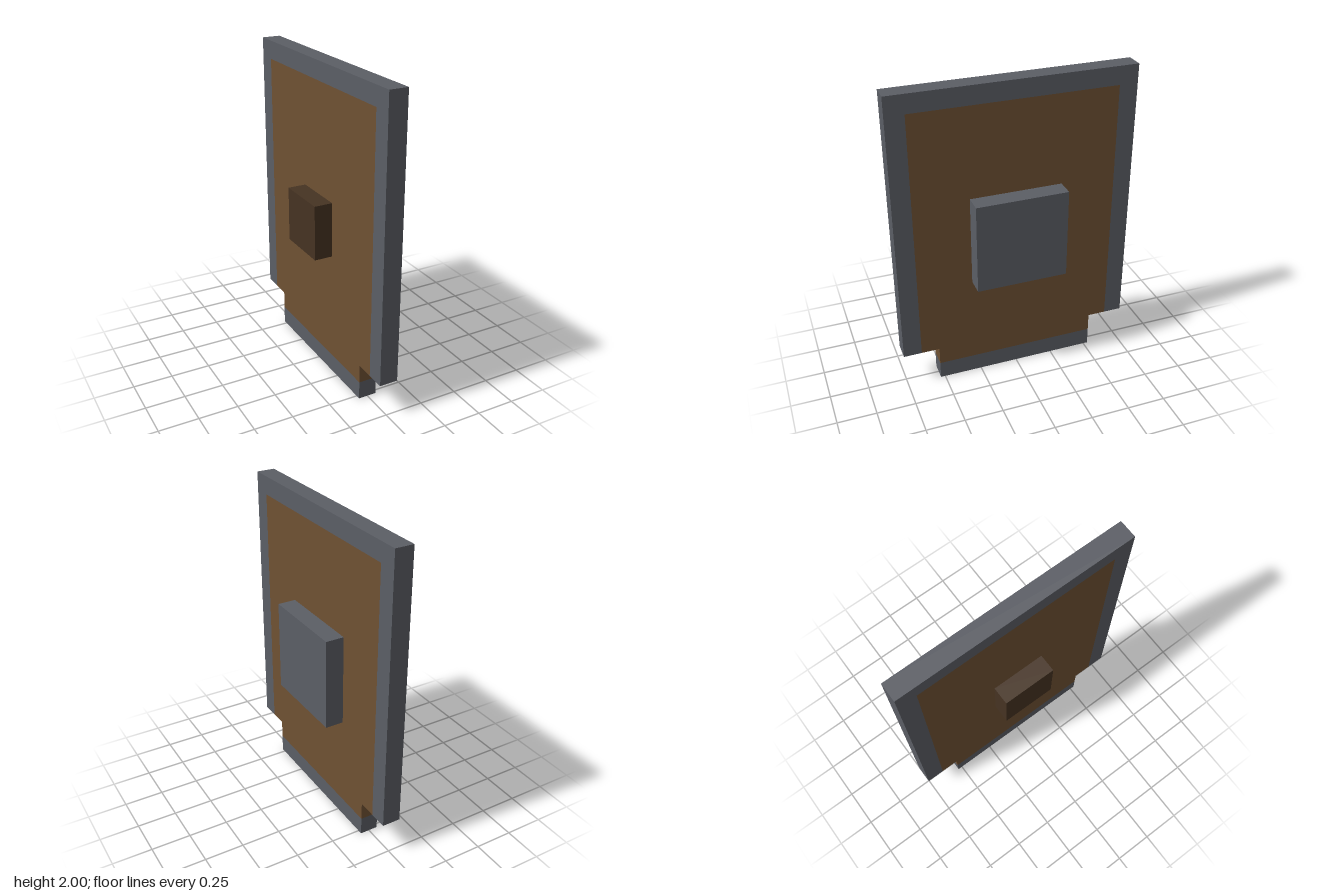
import * as THREE from 'three';

const U = 2 / 17; // grid unit: the slab is one unit thick and 17 units tall

const material = (name, color) => {
  const m = new THREE.MeshStandardMaterial({ color });
  m.name = name;
  return m;
};

export function createModel() {
  const metal = material('iron grey', 0x5b5e65);
  const wood = material('wood brown', 0x6f5133);
  const darkWood = material('dark wood', 0x463322);
  const group = new THREE.Group();
  group.name = 'shield';

  // Slab one unit thick from an outline in the z-y plane, given in units
  const slab = (name, points, mat) => {
    const shape = new THREE.Shape(points.map(([z, y]) => new THREE.Vector2(z * U, y * U)));
    const geo = new THREE.ExtrudeGeometry(shape, { depth: U, bevelEnabled: false });
    geo.translate(0, 0, -U / 2).rotateY(-Math.PI / 2);
    const mesh = new THREE.Mesh(geo, mat);
    mesh.name = name;
    group.add(mesh);
  };

  // Square block centred on the slab's middle, standing off one face
  const block = (name, x, size, mat) => {
    const mesh = new THREE.Mesh(new THREE.BoxGeometry(U, size * U, size * U), mat);
    mesh.position.set(x * U, 8.5 * U, 0);
    mesh.name = name;
    group.add(mesh);
  };

  // Wooden board with a narrower foot
  slab('board', [
    [-4.5, 1], [4.5, 1], [4.5, 2], [5.5, 2],
    [5.5, 16], [-5.5, 16], [-5.5, 2], [-4.5, 2],
  ], wood);

  // Metal rim over the top and sides, and a bar under the foot
  slab('rim', [
    [-6.5, 2], [-5.5, 2], [-5.5, 16], [5.5, 16],
    [5.5, 2], [6.5, 2], [6.5, 17], [-6.5, 17],
  ], metal);
  slab('footRim', [[-4.5, 0], [4.5, 0], [4.5, 1], [-4.5, 1]], metal);

  // Boss on the outer face, grip on the inner face
  block('boss', 1, 5, metal);
  block('grip', -1, 3, darkWood);

  return group;
}
